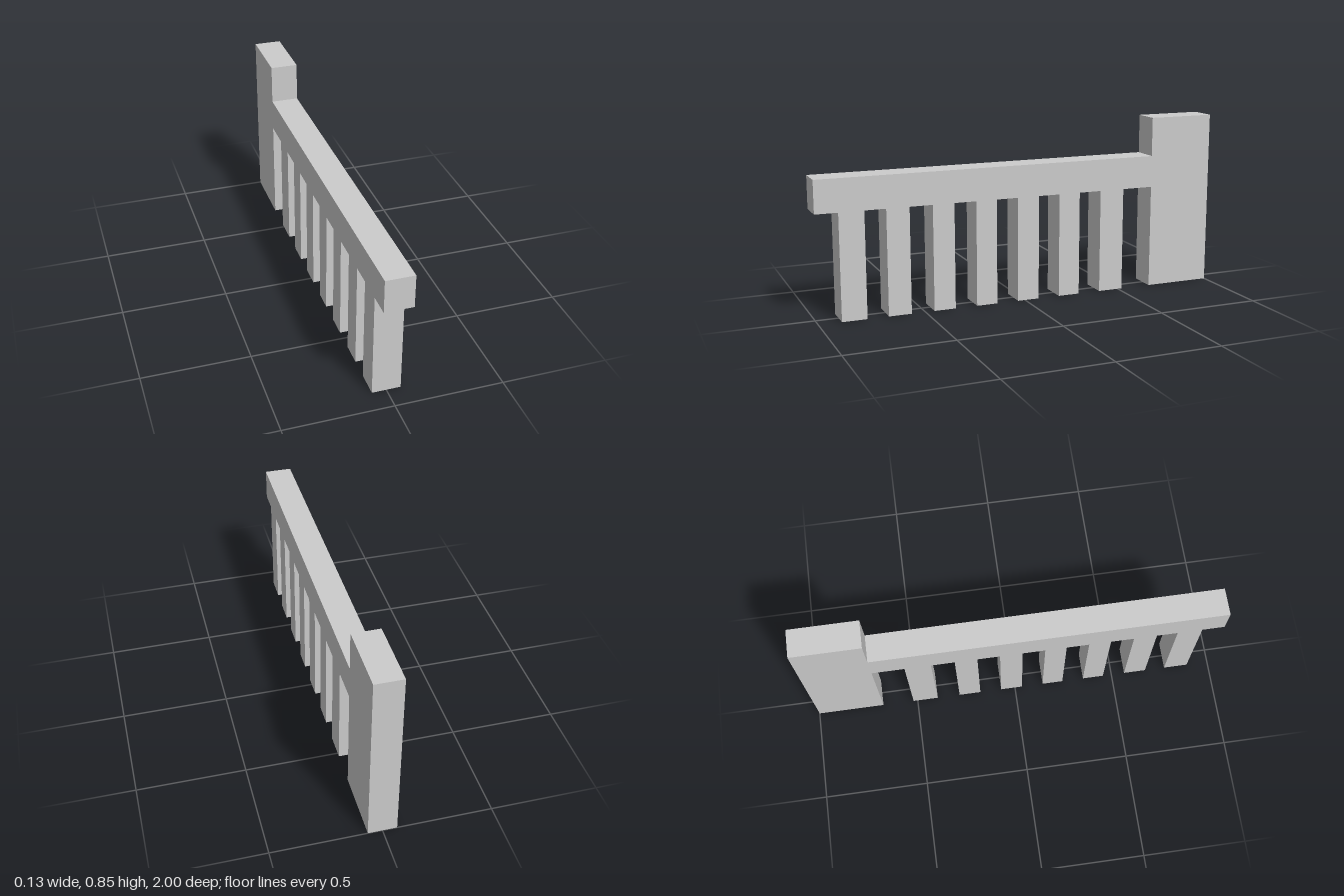
import * as THREE from 'three';

const WIDTH = 0.132;
const RAIL_BOTTOM = 0.503, RAIL_TOP = 0.657, POST_TOP = 0.845;
const POST_FRONT = -0.675;

// front and back z of each baluster, from the front end to the post
const BALUSTERS = [
  [0.893, 0.775], [0.675, 0.566], [0.456, 0.352], [0.245, 0.143],
  [0.036, -0.071], [-0.178, -0.285], [-0.397, -0.521],
];

export function createModel() {
  const group = new THREE.Group();
  group.name = 'balustrade';

  // side outline as (z, y): end post, handrail, then the balusters underneath
  const outline = new THREE.Shape();
  outline.moveTo(-1, 0);
  outline.lineTo(-1, POST_TOP);
  outline.lineTo(POST_FRONT, POST_TOP);
  outline.lineTo(POST_FRONT, RAIL_TOP);
  outline.lineTo(1, RAIL_TOP);
  outline.lineTo(1, RAIL_BOTTOM);
  for (const [front, back] of BALUSTERS) {
    outline.lineTo(front, RAIL_BOTTOM);
    outline.lineTo(front, 0);
    outline.lineTo(back, 0);
    outline.lineTo(back, RAIL_BOTTOM);
  }
  outline.lineTo(POST_FRONT, RAIL_BOTTOM);
  outline.lineTo(POST_FRONT, 0);
  outline.closePath();

  // one seamless solid, turned so the outline runs along z
  const geometry = new THREE.ExtrudeGeometry(outline, { depth: WIDTH, bevelEnabled: false });
  geometry.translate(0, 0, -WIDTH / 2);
  geometry.rotateY(-Math.PI / 2);

  const railing = new THREE.Mesh(
    geometry,
    new THREE.MeshStandardMaterial({ color: 0xcccccc, flatShading: true }),
  );
  railing.name = 'railingWithEndPost';
  group.add(railing);
  return group;
}
